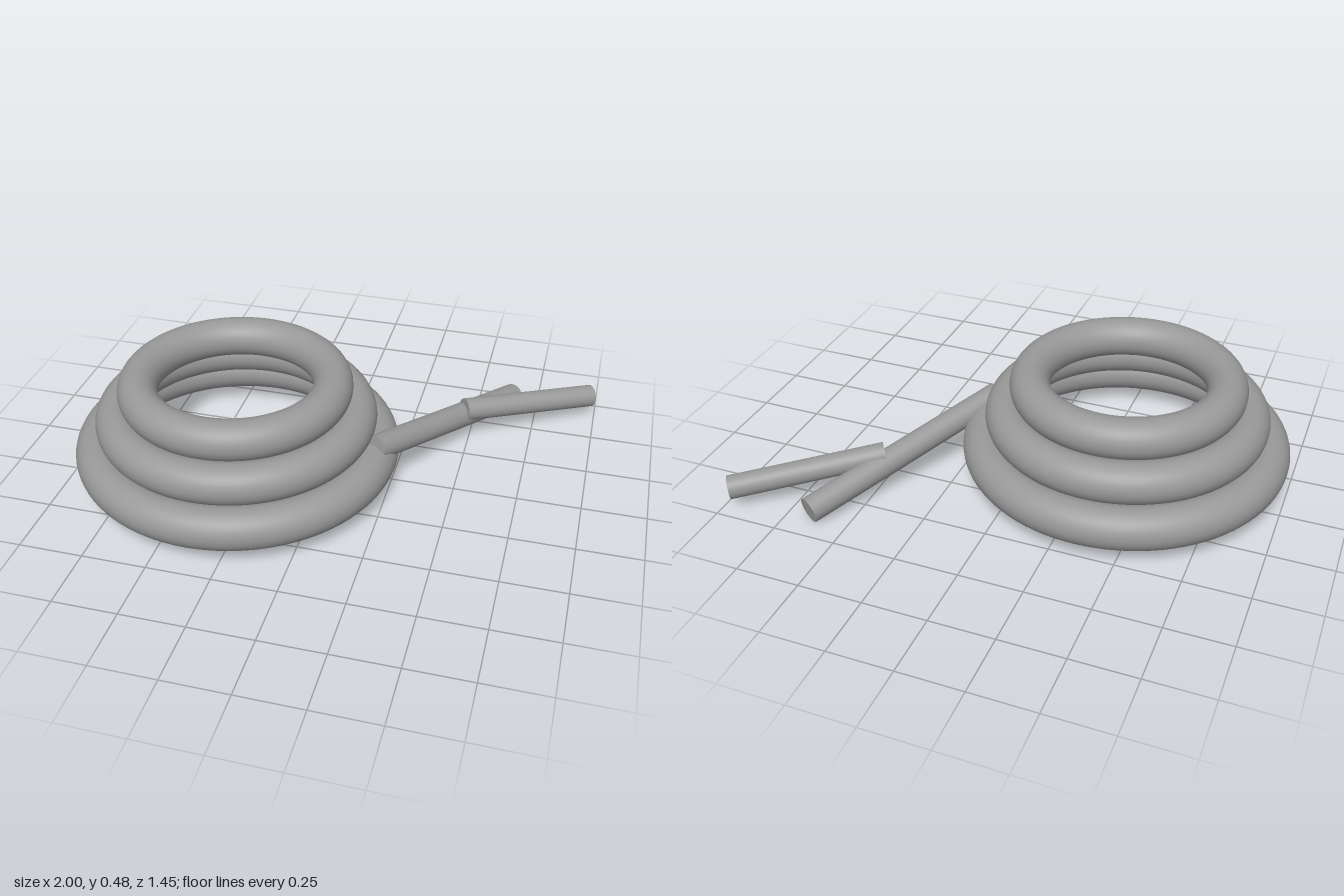
import * as THREE from 'three';

const grey = new THREE.MeshStandardMaterial({ color: 0x999999 });
grey.name = 'grey';

export function createModel() {
  const model = new THREE.Group();
  model.name = 'coil';

  const add = (name, geometry) => {
    const mesh = new THREE.Mesh(geometry, grey);
    mesh.name = name;
    model.add(mesh);
    return mesh;
  };

  // Stacked rings: [name, ring radius, tube radius, centre height]
  const rings = [
    ['bottomRing', 0.557, 0.0825, 0.142],
    ['middleRing', 0.47, 0.08, 0.277],
    ['topRing', 0.378, 0.0775, 0.403],
  ];
  for (const [name, radius, tube, y] of rings) {
    const ring = add(name, new THREE.TorusGeometry(radius, tube, 32, 96));
    ring.rotation.x = Math.PI / 2;
    ring.position.set(-0.36, y, 0.082);
  }

  // Straight flat-ended rod between two points
  const rod = (name, radius, from, to) => {
    const a = new THREE.Vector3(...from);
    const b = new THREE.Vector3(...to);
    const dir = b.clone().sub(a);
    const mesh = add(name, new THREE.CylinderGeometry(radius, radius, dir.length(), 32));
    mesh.position.copy(a).add(b).multiplyScalar(0.5);
    mesh.quaternion.setFromUnitVectors(new THREE.Vector3(0, 1, 0), dir.normalize());
  };

  // Tail leaving the coil, and its fork
  rod('tail', 0.051, [0.2, 0.216, 0.105], [0.645, 0.052, -0.665]);
  rod('tailFork', 0.046, [0.478, 0.15, -0.352], [0.973, 0.09, -0.69]);

  return model;
}
